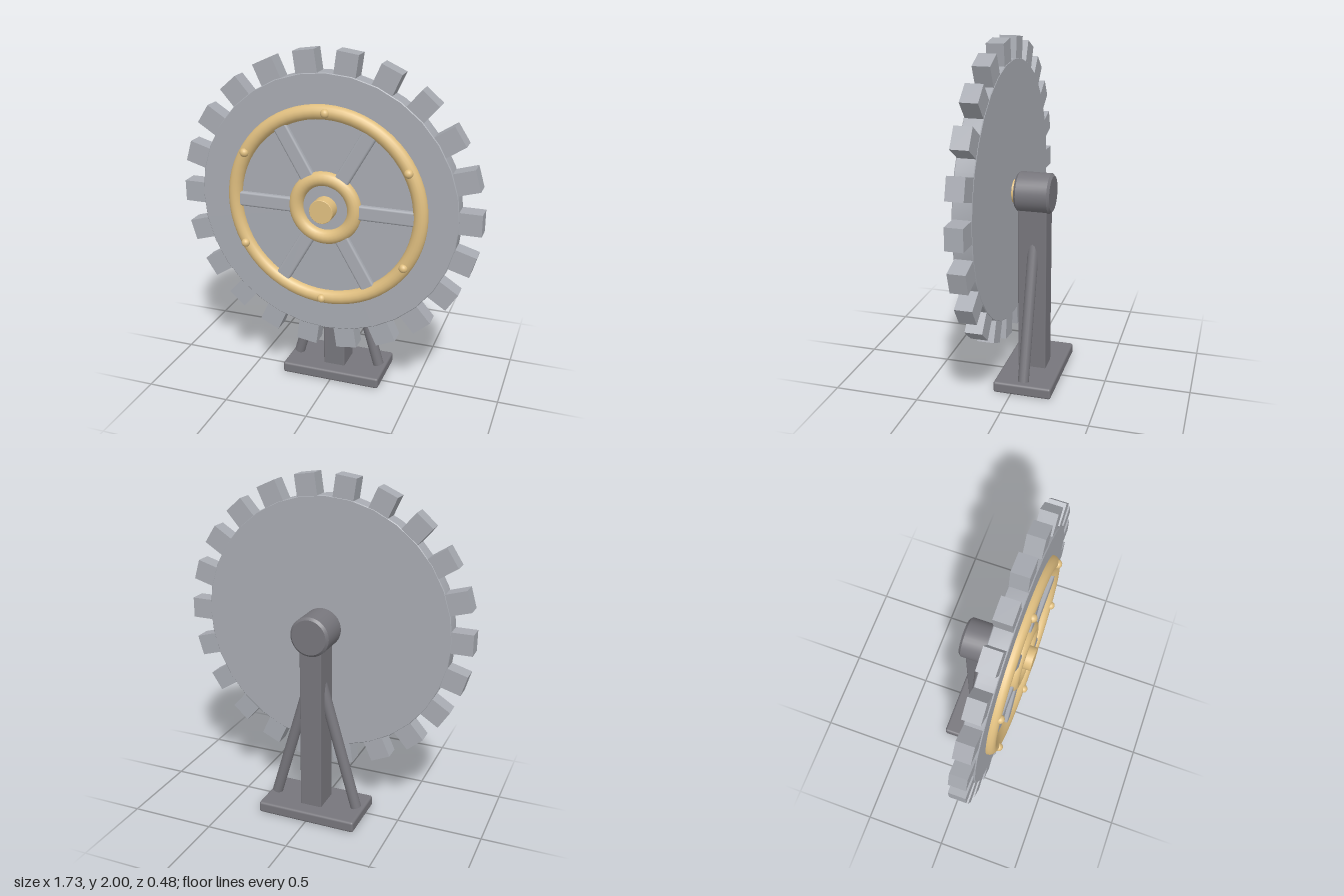
import * as THREE from 'three';
import { RoundedBoxGeometry } from 'three/addons/geometries/RoundedBoxGeometry.js';
import { toCreasedNormals } from 'three/addons/utils/BufferGeometryUtils.js';

const steel = new THREE.MeshStandardMaterial({ color: 0xa8abb2 });
const iron = new THREE.MeshStandardMaterial({ color: 0x77767c });
const brass = new THREE.MeshStandardMaterial({ color: 0xe0bf80 });

function add(parent, name, geometry, material, x = 0, y = 0, z = 0) {
  const mesh = new THREE.Mesh(geometry, material);
  mesh.name = name;
  mesh.position.set(x, y, z);
  parent.add(mesh);
  return mesh;
}

// Cylinder along z with chamfered rims, from z0 to z1
function drum(radius, z0, z1, bevel, sides) {
  const profile = [
    [0, z0], [radius - bevel, z0], [radius, z0 + bevel],
    [radius, z1 - bevel], [radius - bevel, z1], [0, z1],
  ].map(([r, h]) => new THREE.Vector2(r, h));
  const geometry = new THREE.LatheGeometry(profile, sides).rotateX(Math.PI / 2);
  return toCreasedNormals(geometry, 0.5);
}

function createWheel() {
  const wheel = new THREE.Group();
  wheel.name = 'wheel';
  wheel.position.y = 1.14;

  add(wheel, 'disc', drum(0.747, 0.058, 0.164, 0.004, 32), steel);

  // Gear teeth
  const toothGeometry = new THREE.BoxGeometry(0.17, 0.122, 0.098);
  for (let i = 0; i < 22; i++) {
    const a = (i / 22) * Math.PI * 2;
    const tooth = add(wheel, 'tooth', toothGeometry, steel, Math.cos(a) * 0.78, Math.sin(a) * 0.78, 0.109);
    tooth.rotation.z = a;
  }

  // Spokes between the two rings, and rivets on the outer ring
  const spokeGeometry = new RoundedBoxGeometry(0.36, 0.084, 0.07, 2, 0.012);
  const rivetGeometry = new THREE.SphereGeometry(0.025, 16, 12);
  for (let i = 0; i < 6; i++) {
    const a = (i / 6) * Math.PI * 2;
    const spoke = add(wheel, 'spoke', spokeGeometry, steel, Math.cos(a) * 0.35, Math.sin(a) * 0.35, 0.153);
    spoke.rotation.z = a;
    const b = a + 0.5;
    add(wheel, 'rivet', rivetGeometry, brass, Math.cos(b) * 0.54, Math.sin(b) * 0.54, 0.201);
  }

  add(wheel, 'outerRing', new THREE.TorusGeometry(0.54, 0.041, 16, 64), brass, 0, 0, 0.165);
  add(wheel, 'innerRing', new THREE.TorusGeometry(0.17, 0.041, 16, 40), brass, 0, 0, 0.165);
  add(wheel, 'axle', drum(0.068, 0.02, 0.24, 0.002, 32), brass);
  return wheel;
}

function createStand() {
  const stand = new THREE.Group();
  stand.name = 'stand';
  add(stand, 'base', new RoundedBoxGeometry(0.605, 0.067, 0.342, 3, 0.014), iron, 0, 0.0335, -0.066);
  add(stand, 'post', new RoundedBoxGeometry(0.132, 1.06, 0.168, 2, 0.006), iron, 0, 0.57, -0.064);
  add(stand, 'bearing', drum(0.116, -0.17, 0.037, 0.014, 32), iron, 0, 1.14, 0);

  // Slanted braces on both sides of the post
  const foot = new THREE.Vector2(0.257, 0.072);
  const head = new THREE.Vector2(0.035, 0.84);
  const along = head.clone().sub(foot);
  const braceGeometry = new THREE.CylinderGeometry(0.032, 0.032, along.length(), 16);
  for (const side of [1, -1]) {
    const brace = add(stand, side > 0 ? 'leftBrace' : 'rightBrace', braceGeometry, iron,
      side * (foot.x + head.x) / 2, (foot.y + head.y) / 2, -0.066);
    brace.rotation.z = side * Math.atan2(-along.x, along.y);
  }
  return stand;
}

export function createModel() {
  const model = new THREE.Group();
  model.name = 'gearWheelOnStand';
  model.add(createWheel(), createStand());
  return model;
}
